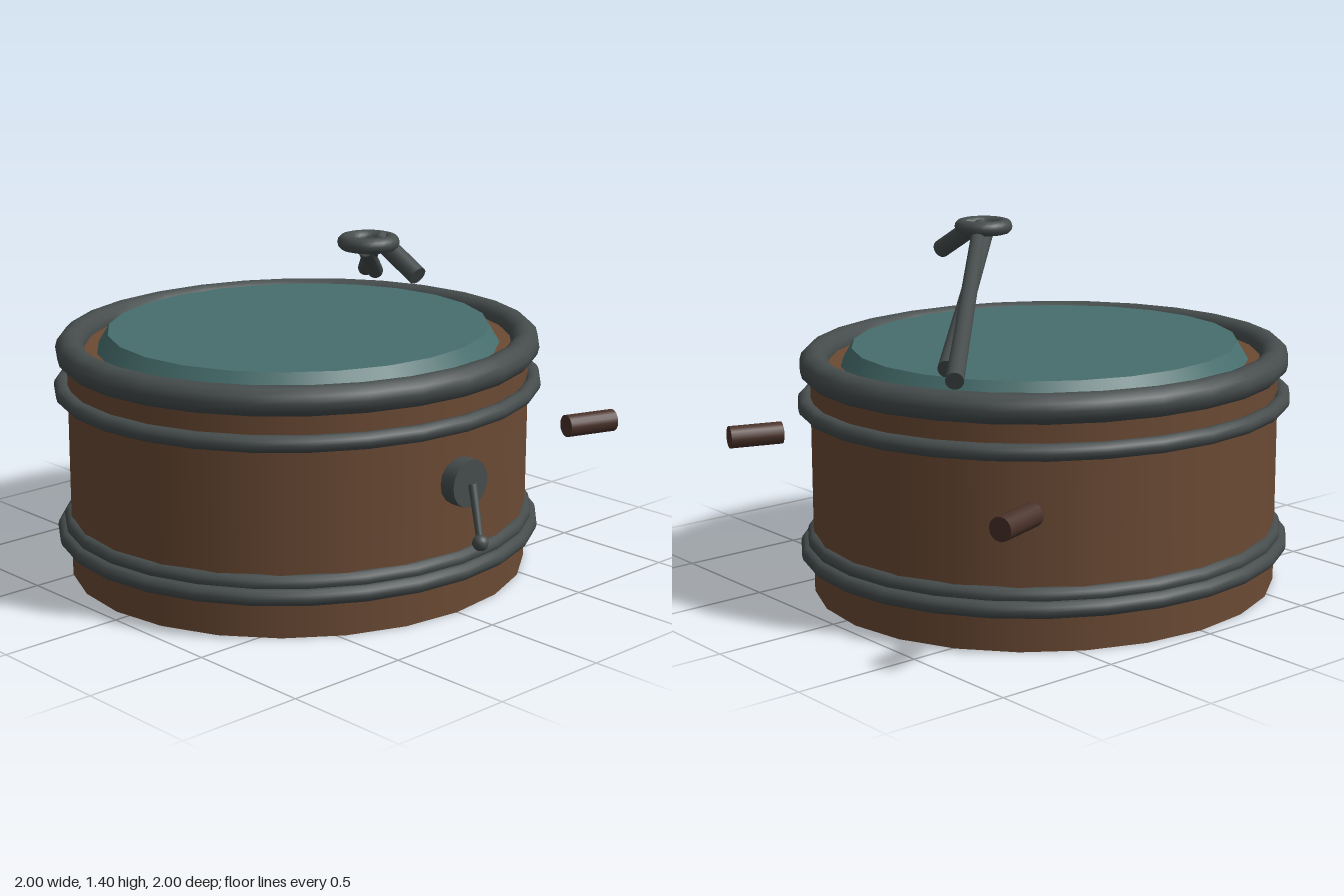
import * as THREE from 'three';

const wood = new THREE.MeshStandardMaterial({ color: 0x6b4a34 });
const metal = new THREE.MeshStandardMaterial({ color: 0x464c4c });
const skin = new THREE.MeshStandardMaterial({ color: 0x466e6d });
const darkWood = new THREE.MeshStandardMaterial({ color: 0x4a322a });

function add(parent, name, geometry, material, x = 0, y = 0, z = 0) {
  const mesh = new THREE.Mesh(geometry, material);
  mesh.name = name;
  mesh.position.set(x, y, z);
  parent.add(mesh);
  return mesh;
}

// Round bar running from point a to point b
function rod(parent, name, a, b, rA, rB, material) {
  const start = new THREE.Vector3(...a);
  const dir = new THREE.Vector3(...b).sub(start);
  const geometry = new THREE.CylinderGeometry(rB, rA, dir.length(), 16);
  const mesh = add(parent, name, geometry, material);
  mesh.position.copy(start).addScaledVector(dir, 0.5);
  mesh.quaternion.setFromUnitVectors(new THREE.Vector3(0, 1, 0), dir.normalize());
  return mesh;
}

// Horizontal ring
function hoop(parent, name, radius, tube, x, y, z, segments = 28) {
  const geometry = new THREE.TorusGeometry(radius, tube, 12, segments).rotateX(Math.PI / 2);
  return add(parent, name, geometry, metal, x, y, z);
}

export function createModel() {
  const model = new THREE.Group();
  model.name = 'drum';

  // Slightly oval drum: shell, skin and hoops
  const drum = new THREE.Group();
  drum.name = 'drumBody';
  drum.position.x = -0.065;
  drum.scale.x = 0.937;
  model.add(drum);
  add(drum, 'shell', new THREE.CylinderGeometry(0.945, 0.945, 0.9, 24), wood, 0, 0.45, 0);
  add(drum, 'drumSkin', new THREE.CylinderGeometry(0.78, 0.83, 0.08, 24), skin, 0, 0.93, 0);
  hoop(drum, 'topRim', 0.932, 0.058, 0, 0.903, 0);
  hoop(drum, 'upperHoop', 0.967, 0.033, 0, 0.752, 0);
  hoop(drum, 'lowerHoop', 0.967, 0.033, 0, 0.168, 0);
  hoop(drum, 'lowerInnerHoop', 0.94, 0.032, 0, 0.215, 0);

  // Crossed sticks with a ring and a short peg at the raised end
  const sticks = new THREE.Group();
  sticks.name = 'sticks';
  model.add(sticks);
  rod(sticks, 'longStick', [-0.54, 1.005, -0.835], [0.4, 1.365, 0.05], 0.034, 0.03, metal);
  rod(sticks, 'shortStick', [-0.42, 1.02, -0.775], [0.38, 1.35, 0.07], 0.034, 0.03, metal);
  hoop(sticks, 'stickRing', 0.088, 0.03, 0.363, 1.37, 0.038, 24);
  rod(sticks, 'stickPeg', [0.36, 1.37, -0.027], [0.56, 1.26, -0.027], 0.037, 0.037, metal);

  // Side knob with a hanging lever
  const crank = new THREE.Group();
  crank.name = 'crank';
  model.add(crank);
  rod(crank, 'knob', [0.81, 0.525, 0], [0.875, 0.525, 0], 0.093, 0.093, metal);
  rod(crank, 'lever', [0.885, 0.525, 0], [0.965, 0.325, 0.038], 0.017, 0.013, metal);
  add(crank, 'leverBall', new THREE.SphereGeometry(0.031, 16, 12), metal, 0.965, 0.325, 0.038);

  // Two angled pegs standing off behind the shell
  for (const [x, side] of [[-0.88, -1], [0.745, 1]]) {
    rod(model, 'rearPeg', [x - side * 0.034, 0.567, -0.735], [x + side * 0.034, 0.567, -0.94], 0.045, 0.045, darkWood);
  }
  return model;
}
